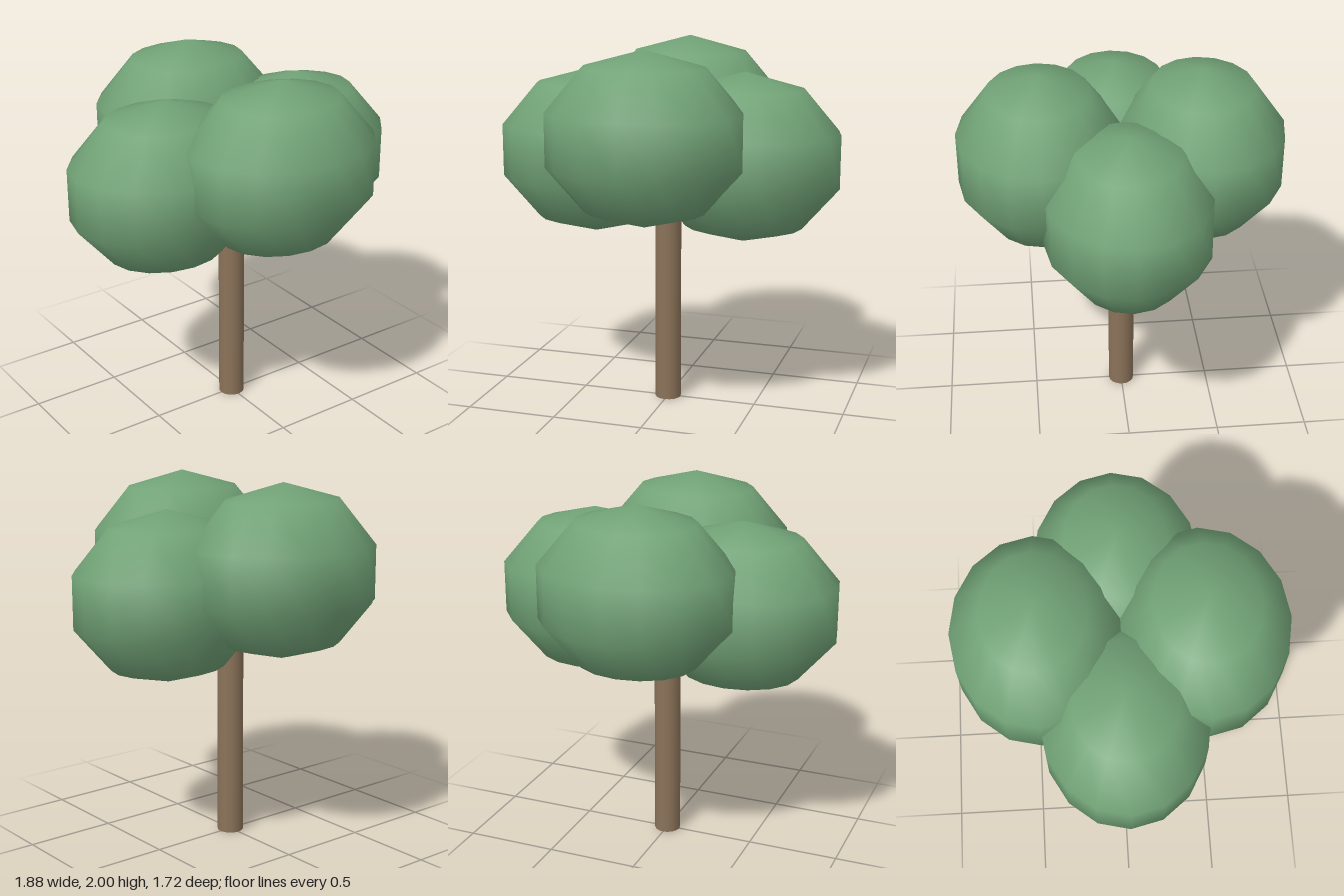
import * as THREE from 'three';

export function createModel() {
  const tree = new THREE.Group();
  tree.name = 'tree';

  const leafGreen = new THREE.MeshStandardMaterial({ color: 0x71a276 });
  leafGreen.name = 'leaf green';
  const barkBrown = new THREE.MeshStandardMaterial({ color: 0x8b7359, side: THREE.DoubleSide });
  barkBrown.name = 'bark brown';

  // Trunk: open tube whose top is buried in the foliage
  const trunk = new THREE.Mesh(new THREE.CylinderGeometry(0.072, 0.072, 1.3, 16, 1, true), barkBrown);
  trunk.name = 'trunk';
  trunk.position.y = 0.65;
  tree.add(trunk);

  // Foliage: four coarse balls, wider along x; front and back sit higher
  const ball = new THREE.SphereGeometry(1, 16, 5).scale(0.545, 0.459, 0.457);
  const clumps = [
    ['frontFoliage', 0, 1.541, 0.425],
    ['backFoliage', 0, 1.541, -0.425],
    ['leftFoliage', 0.423, 1.397, 0],
    ['rightFoliage', -0.423, 1.397, 0],
  ];
  for (const [name, x, y, z] of clumps) {
    const clump = new THREE.Mesh(ball, leafGreen);
    clump.name = name;
    clump.position.set(x, y, z);
    tree.add(clump);
  }
  return tree;
}
